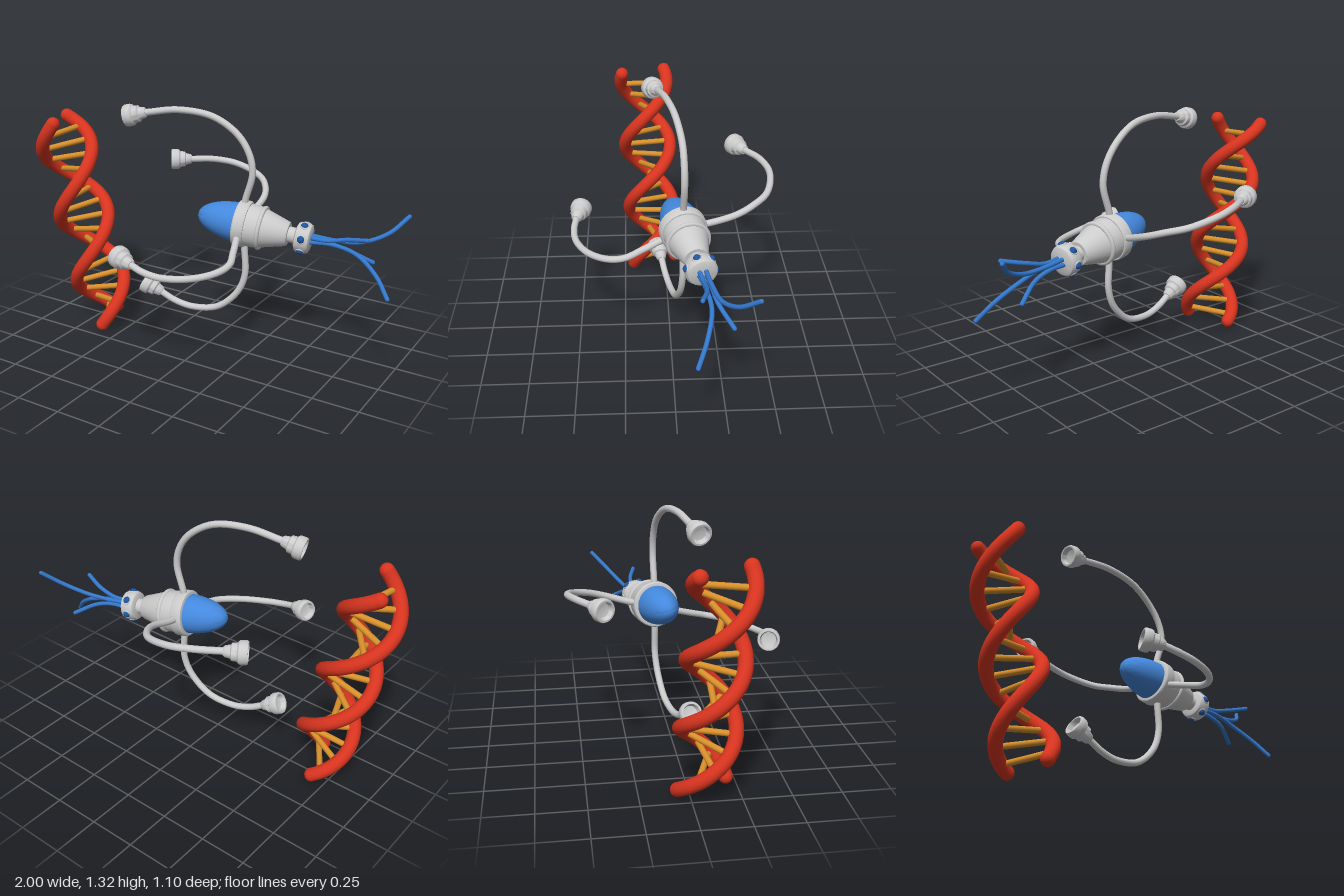
import * as THREE from 'three';
import { toCreasedNormals } from 'three/addons/utils/BufferGeometryUtils.js';

const V = (p) => new THREE.Vector3(...p);
const UP = new THREE.Vector3(0, 1, 0);
const mat = (color) => new THREE.MeshStandardMaterial({ color });
const grey = mat(0xcccccc), red = mat(0xd8341f), orange = mat(0xd88f2a);
const blue = mat(0x4488dd), tailBlue = mat(0x3377cc), beadBlue = mat(0x2255a0);

function add(parent, name, geometry, material) {
  const mesh = new THREE.Mesh(geometry, material);
  mesh.name = name;
  parent.add(mesh);
  return mesh;
}

function lathe(profile, segments = 40) {
  const pts = profile.map(([r, y]) => new THREE.Vector2(r, y));
  return toCreasedNormals(new THREE.LatheGeometry(pts, segments), 0.6);
}

// Round tube with ball ends
function roundTube(parent, name, points, radius, material, segments) {
  const group = new THREE.Group();
  group.name = name;
  parent.add(group);
  const curve = new THREE.CatmullRomCurve3(points);
  add(group, name + 'Tube', new THREE.TubeGeometry(curve, segments, radius, 14), material);
  for (const end of [points[0], points[points.length - 1]]) {
    add(group, name + 'End', new THREE.SphereGeometry(radius, 14, 10), material).position.copy(end);
  }
}

// Double helix: two strands around a leaning axis, joined by rungs
function buildHelix() {
  const helix = new THREE.Group();
  helix.name = 'doubleHelix';
  const top = V([-0.885, 1.192, 0.118]), bottom = V([-0.635, 0.047, 0.067]);
  const axis = top.clone().sub(bottom).normalize();
  const ex = new THREE.Vector3(1, 0, 0).addScaledVector(axis, -axis.x).normalize();
  const ez = new THREE.Vector3().crossVectors(ex, axis);
  const at = (t, side) => {
    const a = THREE.MathUtils.degToRad(66 + 545 * t);
    return top.clone().lerp(bottom, t)
      .addScaledVector(ex, side * 0.135 * Math.cos(a))
      .addScaledVector(ez, side * 0.135 * Math.sin(a));
  };
  for (const side of [1, -1]) {
    const pts = Array.from({ length: 49 }, (_, i) => at(i / 48, side));
    roundTube(helix, 'strand', pts, 0.037, red, 140);
  }
  for (let i = 0; i < 16; i++) {
    const t = 0.058 + i * 0.0608;
    const a = at(t, 1), b = at(t, -1);
    const rung = add(helix, 'rung', new THREE.CylinderGeometry(0.016, 0.016, a.distanceTo(b), 14), orange);
    rung.position.copy(a).lerp(b, 0.5);
    rung.quaternion.setFromUnitVectors(UP, b.sub(a).normalize());
  }
  return helix;
}

// Body: turned parts along one axis, from the nose tip backwards
function buildBody() {
  const body = new THREE.Group();
  body.name = 'body';
  body.position.set(-0.07, 0.755, -0.012);
  body.quaternion.setFromUnitVectors(UP, V([0.97, -0.121, -0.209]).normalize());

  const nose = [];
  for (let i = 0; i <= 16; i++) {
    const a = (i / 16) * Math.PI / 2;
    nose.push([0.106 * Math.sin(a), 0.24 * (1 - Math.cos(a))]);
  }
  add(body, 'nose', lathe(nose), blue);
  add(body, 'collar', lathe([[0, 0.215], [0.105, 0.215], [0.12, 0.218], [0.125, 0.225],
    [0.125, 0.272], [0.12, 0.28], [0, 0.28]]), grey);
  add(body, 'hull', lathe([[0, 0.27], [0.114, 0.27], [0.111, 0.34], [0.102, 0.37],
    [0.066, 0.492], [0.06, 0.5], [0, 0.5]]), grey);
  const band = add(body, 'hullBand', new THREE.TorusGeometry(0.107, 0.012, 12, 48), grey);
  band.rotation.x = Math.PI / 2;
  band.position.y = 0.355;
  add(body, 'neck', new THREE.CylinderGeometry(0.042, 0.042, 0.07, 28), grey).position.y = 0.52;
  add(body, 'tailRing', lathe([[0, 0.54], [0.06, 0.54], [0.074, 0.546], [0.08, 0.558],
    [0.08, 0.604], [0.074, 0.616], [0.06, 0.622], [0, 0.622]]), grey);

  // Six beads with sockets around the tail ring
  for (let k = 0; k < 6; k++) {
    const holder = new THREE.Group();
    holder.name = 'beadHolder';
    holder.rotation.y = k * Math.PI / 3;
    body.add(holder);
    add(holder, 'bead', new THREE.SphereGeometry(0.021, 16, 12), beadBlue).position.set(0, 0.581, 0.073);
    add(holder, 'beadSocket', new THREE.TorusGeometry(0.021, 0.005, 8, 20), grey).position.set(0, 0.581, 0.077);
  }
  return body;
}

// Arms: path from the collar to the cup base, then the centre of the cup's face
const ARMS = {
  upperArm: [[[0.16, 0.74, -0.06], [0.185, 0.86, -0.065], [0.222, 1.0, -0.067], [0.205, 1.1, -0.066],
    [0.14, 1.2, -0.058], [0.01, 1.285, -0.03], [-0.175, 1.308, 0.01], [-0.36, 1.28, 0.05]], [-0.475, 1.253, 0.082]],
  lowerArm: [[[0.18, 0.7, -0.06], [0.185, 0.58, -0.062], [0.19, 0.44, -0.062], [0.15, 0.33, -0.052],
    [0.037, 0.225, -0.03], [-0.107, 0.2, -0.003], [-0.21, 0.222, 0.018], [-0.29, 0.263, 0.034]], [-0.385, 0.311, 0.054]],
  backArm: [[[0.16, 0.73, -0.08], [0.155, 0.748, -0.2], [0.15, 0.79, -0.34], [0.11, 0.822, -0.43],
    [0.03, 0.85, -0.51], [-0.13, 0.888, -0.545], [-0.265, 0.905, -0.51], [-0.385, 0.906, -0.437]], [-0.49, 0.905, -0.372]],
  frontArm: [[[0.17, 0.7, -0.02], [0.235, 0.642, 0.15], [0.265, 0.615, 0.24], [0.248, 0.6, 0.325],
    [0.16, 0.586, 0.43], [0.03, 0.586, 0.5], [-0.07, 0.6, 0.514], [-0.15, 0.62, 0.505]], [-0.262, 0.64, 0.475]],
};

function buildArm(name, [path, face]) {
  const arm = new THREE.Group();
  arm.name = name;
  const pts = path.map(V);
  add(arm, 'armTube', new THREE.TubeGeometry(new THREE.CatmullRomCurve3(pts), 80, 0.018, 14), grey);
  // Stepped cup with a hollow mouth
  const cup = add(arm, 'cup', lathe([[0, -0.005], [0.022, -0.005], [0.028, 0.002], [0.034, 0.03], [0.044, 0.036],
    [0.046, 0.062], [0.056, 0.07], [0.059, 0.08], [0.059, 0.106], [0.055, 0.114], [0.046, 0.114],
    [0.038, 0.088], [0, 0.078]], 32), grey);
  cup.position.copy(pts[pts.length - 1]);
  cup.quaternion.setFromUnitVectors(UP, V(face).sub(cup.position).normalize());
  return arm;
}

// Tail strands: run together behind the ring, then fan out
const TAILS = [
  [[0.5, 0.7, -0.15], [0.66, 0.685, -0.18], [0.78, 0.69, -0.21], [0.9, 0.74, -0.275], [0.975, 0.82, -0.36]],
  [[0.5, 0.67, -0.115], [0.66, 0.67, -0.15], [0.78, 0.635, -0.165], [0.9, 0.555, -0.135], [0.982, 0.465, -0.09]],
  [[0.5, 0.67, -0.155], [0.62, 0.665, -0.175], [0.72, 0.635, -0.2], [0.83, 0.57, -0.267]],
  [[0.5, 0.7, -0.115], [0.62, 0.69, -0.14], [0.73, 0.715, -0.145], [0.85, 0.743, -0.115]],
];

export function createModel() {
  const model = new THREE.Group();
  model.name = 'model';
  model.add(buildHelix(), buildBody());
  for (const [name, data] of Object.entries(ARMS)) model.add(buildArm(name, data));
  for (const path of TAILS) roundTube(model, 'tailStrand', path.map(V), 0.0115, tailBlue, 40);
  return model;
}
